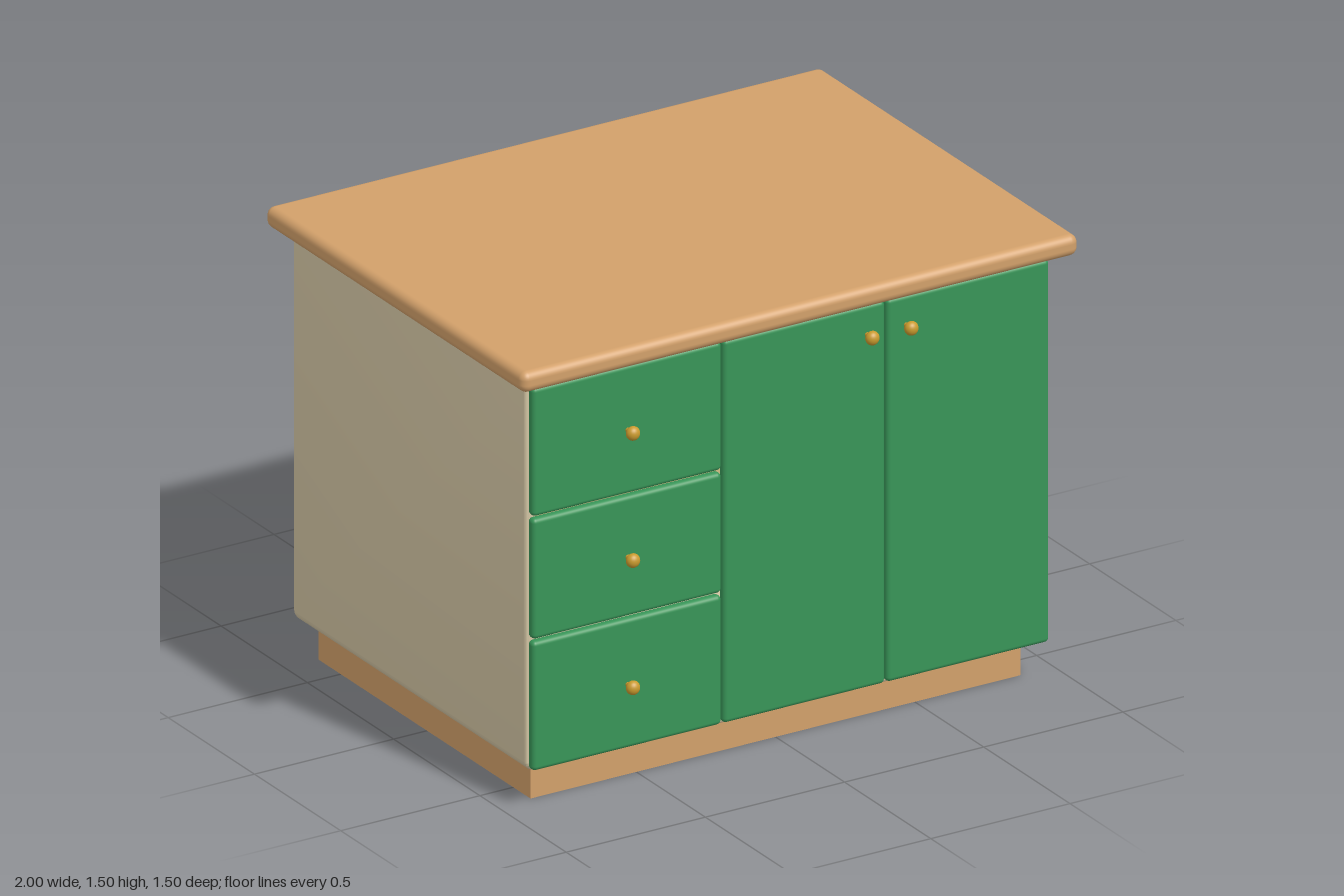
import * as THREE from 'three';
import { mergeVertices, toCreasedNormals } from 'three/addons/utils/BufferGeometryUtils.js';
import { RoundedBoxGeometry } from 'three/addons/geometries/RoundedBoxGeometry.js';

const material = (name, color) => {
  const m = new THREE.MeshStandardMaterial({ color });
  m.name = name;
  return m;
};

// Rounded rectangle traced on a Shape or a Path
function roundedRect(path, x0, y0, x1, y1, r) {
  path.moveTo(x0 + r, y0);
  path.lineTo(x1 - r, y0);
  path.absarc(x1 - r, y0 + r, r, -Math.PI / 2, 0);
  path.lineTo(x1, y1 - r);
  path.absarc(x1 - r, y1 - r, r, 0, Math.PI / 2);
  path.lineTo(x0 + r, y1);
  path.absarc(x0 + r, y1 - r, r, Math.PI / 2, Math.PI);
  path.lineTo(x0, y0 + r);
  path.absarc(x0 + r, y0 + r, r, Math.PI, Math.PI * 1.5);
  return path;
}

export function createModel() {
  const wood = material('wood', 0xd2a06a);
  const cream = material('cream', 0xd4c6a4);
  const green = material('green', 0x389558);
  const straw = material('straw', 0xd0c085);
  const brass = material('brass', 0xc99a2e);

  const model = new THREE.Group();
  model.name = 'kitchenIsland';

  const add = (name, geometry, mat, parent = model) => {
    const mesh = new THREE.Mesh(geometry, mat);
    mesh.name = name;
    parent.add(mesh);
    return mesh;
  };

  // Box given by its limits, with optionally rounded edges
  function block(name, mat, [x0, x1], [y0, y1], [z0, z1], r = 0) {
    const size = [x1 - x0, y1 - y0, z1 - z0];
    const geometry = r ? new RoundedBoxGeometry(...size, 4, r) : new THREE.BoxGeometry(...size);
    const mesh = add(name, geometry, mat);
    mesh.position.set((x0 + x1) / 2, (y0 + y1) / 2, (z0 + z1) / 2);
    return mesh;
  }

  // Worktop and plinth
  block('worktop', wood, [-1, 1], [1.43, 1.5], [-0.75, 0.75], 0.027);
  block('plinth', wood, [-0.88, 0.88], [0, 0.125], [-0.63, 0.6]);

  // Carcass: a rounded sleeve with softened rims
  const bevel = 0.012;
  const outline = roundedRect(new THREE.Shape(), -0.935 + bevel, 0.12 + bevel, 0.935 - bevel, 1.43 - bevel, 0.028);
  outline.holes.push(roundedRect(new THREE.Path(), -0.895 - bevel, 0.16 - bevel, 0.895 + bevel, 1.39 + bevel, 0.025));
  let sleeve = new THREE.ExtrudeGeometry(outline, {
    depth: 1.35 - 2 * bevel, bevelEnabled: true, bevelThickness: bevel,
    bevelSize: bevel, bevelSegments: 3, curveSegments: 6,
  });
  sleeve.deleteAttribute('normal');
  sleeve.deleteAttribute('uv');
  sleeve = toCreasedNormals(mergeVertices(sleeve, 1e-4), 0.6);
  add('carcass', sleeve, cream).position.z = -0.69 + bevel;

  // Open shelving at the back
  block('innerPanel', straw, [-0.905, 0.905], [0.15, 1.4], [-0.33, -0.31]);
  block('divider', straw, [-0.014, 0.014], [0.15, 1.4], [-0.69, -0.32]);
  for (const s of [-1, 1]) {
    const ends = s > 0 ? [0.013, 0.9] : [-0.9, -0.013];
    block(s > 0 ? 'leftShelf' : 'rightShelf', wood, ends, [0.757, 0.783], [-0.688, -0.32]);
  }

  // Drawer and door fronts
  const faceZ = [0.66, 0.695];
  [[0.135, 0.567], [0.575, 0.977], [0.985, 1.415]].forEach((range, i) =>
    block(`drawerFront${i + 1}`, green, [-0.93, -0.25], range, faceZ, 0.015));
  block('rightDoor', green, [-0.244, 0.337], [0.135, 1.415], faceZ, 0.015);
  block('leftDoor', green, [0.343, 0.927], [0.135, 1.415], faceZ, 0.015);

  // Knobs: a short stem with a slightly flattened ball
  const stem = new THREE.CylinderGeometry(0.008, 0.008, 0.04, 16).rotateX(Math.PI / 2);
  const ball = new THREE.SphereGeometry(0.023, 24, 16).scale(1, 1, 0.85);
  const spots = [[-0.59, 0.35], [-0.59, 0.775], [-0.59, 1.2], [0.27, 1.317], [0.41, 1.317]];
  for (const [x, y] of spots) {
    const knob = new THREE.Group();
    knob.name = 'knob';
    knob.position.set(x, y, 0.69);
    add('knobStem', stem, brass, knob).position.z = 0.015;
    add('knobBall', ball, brass, knob).position.z = 0.036;
    model.add(knob);
  }

  return model;
}
